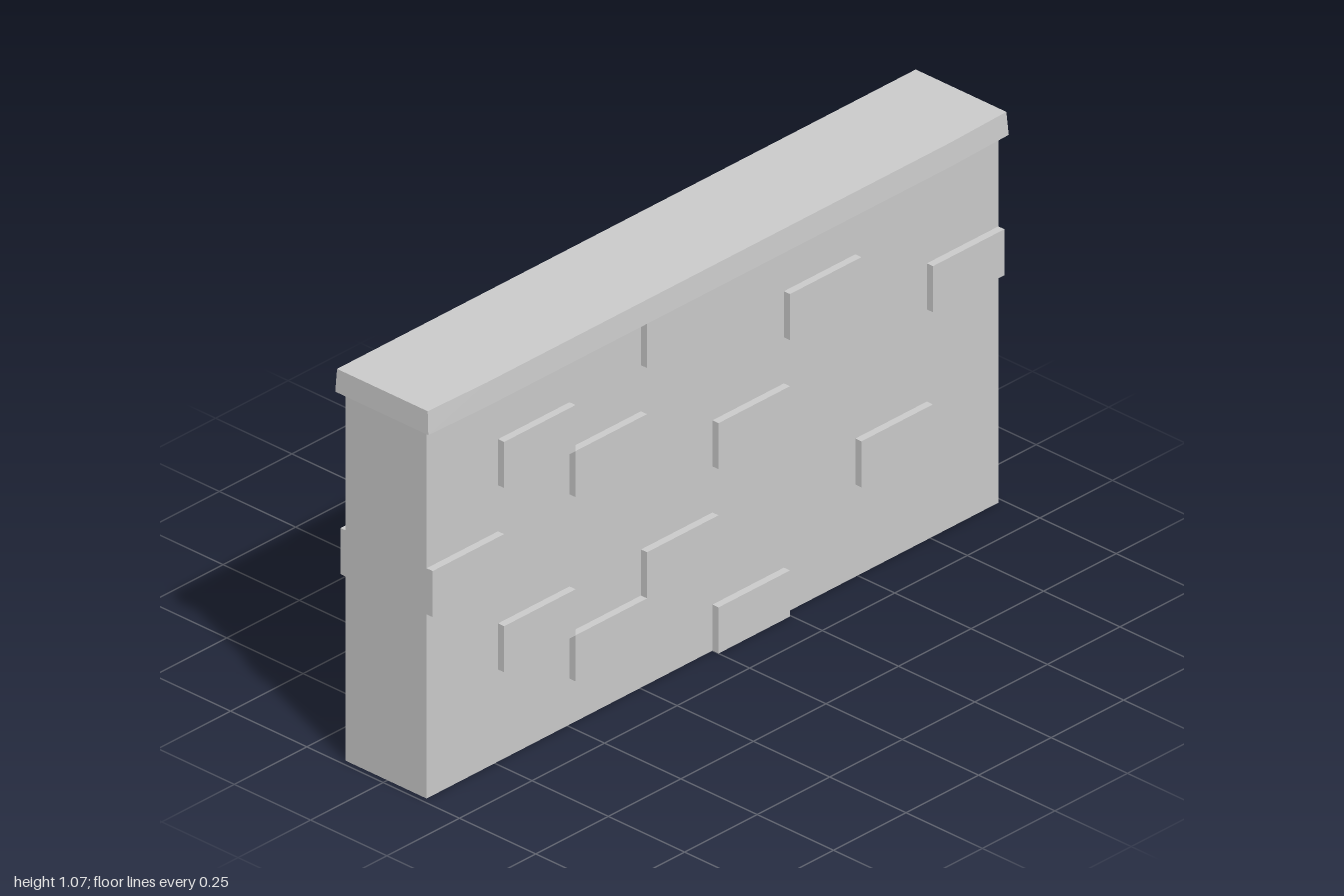
import * as THREE from 'three';
import { ConvexGeometry } from 'three/addons/geometries/ConvexGeometry.js';

const HALF_LENGTH = 0.985, HEIGHT = 1.005;
const LEFT_FACE = 0.128, RIGHT_FACE = -0.138;
const COLUMN = HALF_LENGTH * 2 / 8, ROW = HEIGHT / 8;

// raised bricks as [column from the back, row from the ground]
const LEFT_BRICKS = [[4, 7], [6, 6], [2, 6], [5, 5], [0, 5], [7, 4], [3, 4],
  [6, 2], [4, 2], [1, 2], [5, 1], [3, 0]];
const RIGHT_BRICKS = [[6, 7], [0, 6], [2, 6], [4, 6], [6, 5], [7, 4], [2, 4],
  [1, 3], [2, 3], [4, 3], [6, 2], [5, 1], [2, 1]];

export function createModel() {
  const model = new THREE.Group();
  model.name = 'brickWall';
  const material = new THREE.MeshStandardMaterial({ color: 0xcccccc, flatShading: true });

  function add(parent, name, geometry, x = 0, y = 0, z = 0) {
    const mesh = new THREE.Mesh(geometry, material);
    mesh.name = name;
    mesh.position.set(x, y, z);
    parent.add(mesh);
  }

  // plain wall slab
  add(model, 'wall', new THREE.BoxGeometry(LEFT_FACE - RIGHT_FACE, HEIGHT, HALF_LENGTH * 2),
    (LEFT_FACE + RIGHT_FACE) / 2, HEIGHT / 2, 0);

  // bricks standing proud of each long face
  function addBricks(name, cells, face, outer) {
    const group = new THREE.Group();
    group.name = name;
    const geometry = new THREE.BoxGeometry(Math.abs(outer - face), ROW, COLUMN);
    for (const [column, row] of cells) {
      add(group, 'brick', geometry, (face + outer) / 2,
        (row + 0.5) * ROW, -HALF_LENGTH + (column + 0.5) * COLUMN);
    }
    model.add(group);
  }
  addBricks('leftBricks', LEFT_BRICKS, LEFT_FACE, 0.148);
  addBricks('rightBricks', RIGHT_BRICKS, RIGHT_FACE, -0.154);

  // coping: slightly flared downward, its left edge bowed outward
  const points = [];
  for (const side of [-1, 1]) {
    for (const [y, right, corner, bow, end] of [
      [HEIGHT, -0.157, 0.148, 0.154, 1],
      [1.067, -0.154, 0.143, 0.149, 0.997],
    ]) {
      points.push(new THREE.Vector3(right, y, side * end),
        new THREE.Vector3(corner, y, side * end),
        new THREE.Vector3(bow, y, side * 0.8));
    }
  }
  add(model, 'coping', new ConvexGeometry(points));

  return model;
}
